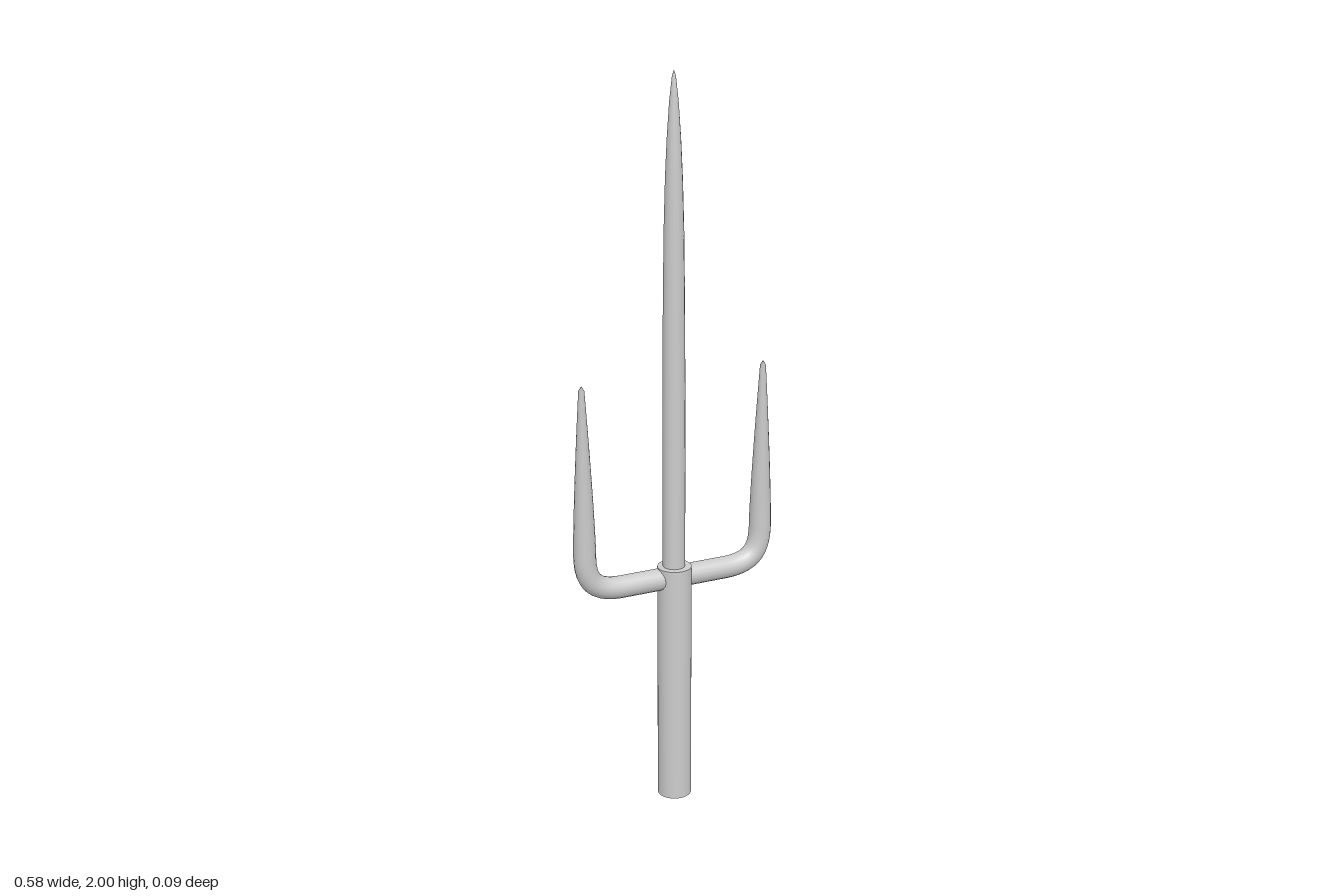
import * as THREE from 'three';

const material = new THREE.MeshStandardMaterial({ color: 0xcccccc });

function addMesh(parent, name, geometry) {
  const mesh = new THREE.Mesh(geometry, material);
  mesh.name = name;
  parent.add(mesh);
  return mesh;
}

// Round tube along a curve whose radius is scaled by taper(u), u = 0..1
function taperedTube(curve, segments, radius, sides, taper) {
  const geometry = new THREE.TubeGeometry(curve, segments, radius, sides, false);
  const { position, uv } = geometry.attributes;
  const v = new THREE.Vector3();
  for (let i = 0; i < position.count; i++) {
    const u = uv.getX(i);
    const centre = curve.getPointAt(u);
    v.fromBufferAttribute(position, i).sub(centre).multiplyScalar(taper(u)).add(centre);
    position.setXYZ(i, v.x, v.y, v.z);
  }
  return geometry;
}

export function createModel() {
  const model = new THREE.Group();
  model.name = 'threeProngedDagger';

  // Plain cylindrical grip with flat ends
  const handle = addMesh(model, 'handle', new THREE.CylinderGeometry(0.046, 0.046, 0.68, 32));
  handle.position.y = 0.34;

  // Blade and prongs share an axis slightly behind the grip's
  const head = new THREE.Group();
  head.name = 'head';
  head.position.z = -0.003;
  model.add(head);

  // Long central blade, curving in to a point
  const profile = [
    [0.03, 0.6], [0.03, 1.1], [0.0285, 1.4], [0.026, 1.6], [0.0225, 1.73],
    [0.018, 1.83], [0.012, 1.92], [0.005, 1.985], [0, 2],
  ].map(([r, y]) => new THREE.Vector2(r, y));
  addMesh(head, 'centralBlade', new THREE.LatheGeometry(profile, 16));

  // Side prong: straight out, rounded bend, then up to a narrow tip
  const p = (x, y) => new THREE.Vector3(x, y, 0);
  const path = new THREE.CurvePath();
  path.add(new THREE.LineCurve3(p(0, 0.647), p(0.155, 0.647)));
  path.add(new THREE.CubicBezierCurve3(p(0.155, 0.647), p(0.225, 0.649), p(0.258, 0.672), p(0.258, 0.755)));
  path.add(new THREE.LineCurve3(p(0.258, 0.755), p(0.26, 1.22)));
  const taper = (u) => {
    if (u === 1) return 0;
    const t = Math.max(0, (u - 0.42) / 0.58);
    return 1 - 0.77 * Math.pow(t, 1.3);
  };
  const prongGeometry = taperedTube(path, 64, 0.03, 16, taper);
  addMesh(head, 'leftProng', prongGeometry);
  addMesh(head, 'rightProng', prongGeometry).rotation.y = Math.PI;

  return model;
}
